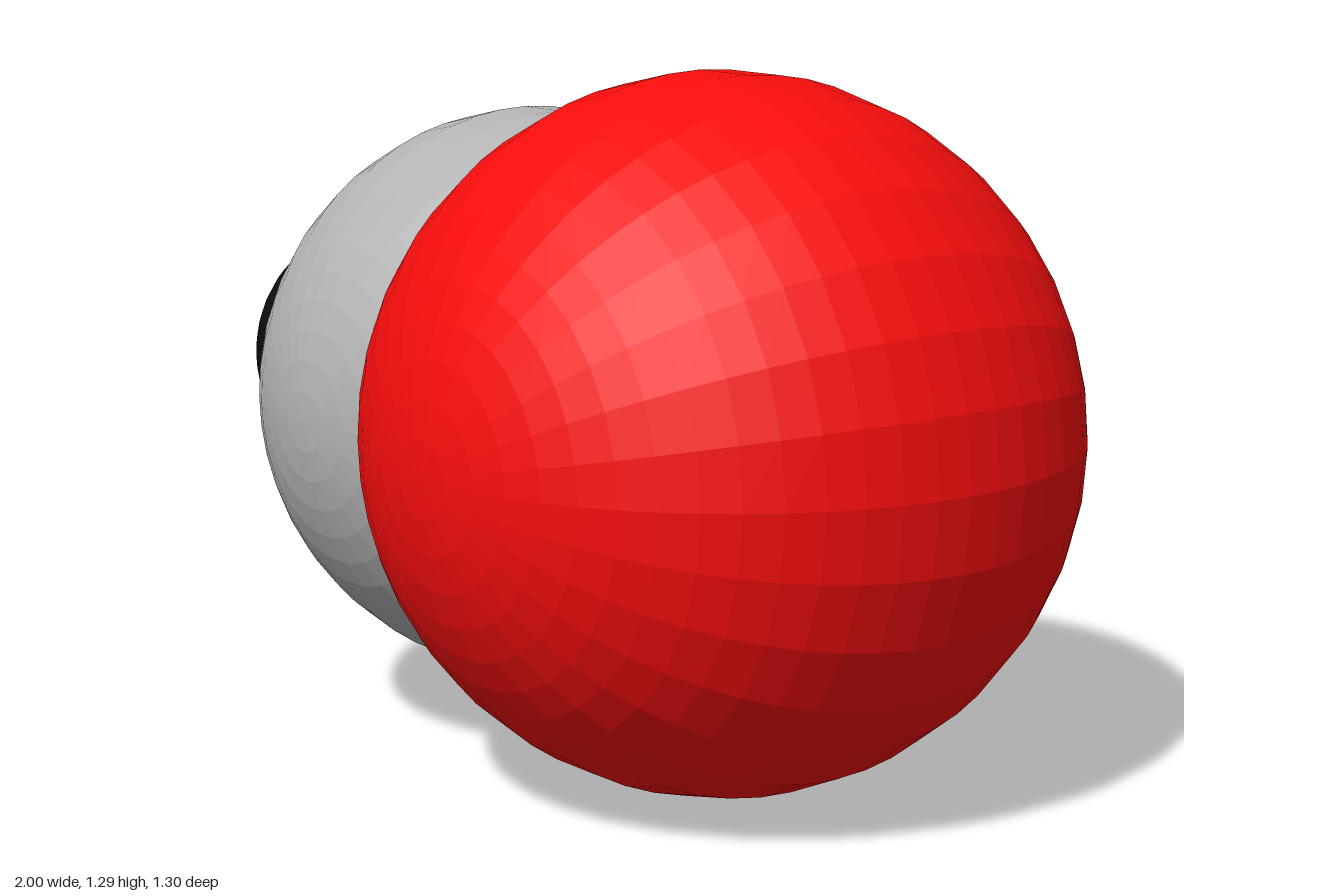
import * as THREE from 'three';

// Faceted ball whose poles lie on the z axis
function ball(name, x, radius, color) {
  const geometry = new THREE.SphereGeometry(radius, 30, 30);
  geometry.rotateX(Math.PI / 2);
  const material = new THREE.MeshStandardMaterial({ color, flatShading: true });
  const mesh = new THREE.Mesh(geometry, material);
  mesh.name = name;
  mesh.position.set(x, 0.65, 0);
  return mesh;
}

export function createModel() {
  const group = new THREE.Group();
  group.name = 'spaceFillingMolecule';
  // Three overlapping atoms in a row along x
  group.add(
    ball('smallBlackAtom', -0.73, 0.27, 0x0d0d0d),
    ball('middleGreyAtom', -0.195, 0.542, 0xb4b4b4),
    ball('largeRedAtom', 0.346, 0.65, 0xf80d0d),
  );
  return group;
}
